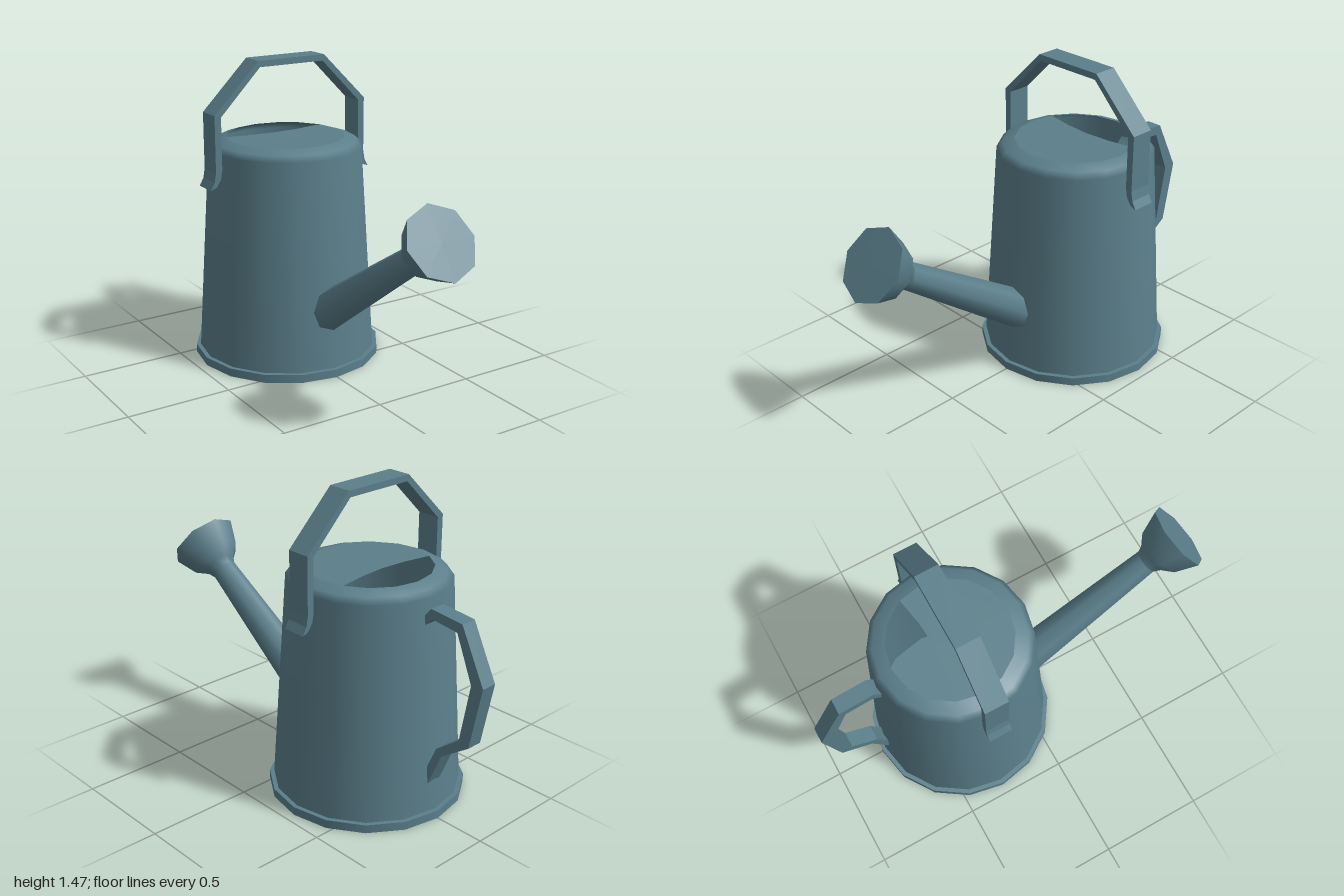
import * as THREE from 'three';

const BODY_Z = -0.3;
const V = (pts) => pts.map(([x, y]) => new THREE.Vector2(x, y));

export function createModel() {
  const group = new THREE.Group();
  const metal = new THREE.MeshStandardMaterial({ color: 0x5b7f8b, side: THREE.DoubleSide });
  metal.name = 'slateBlueMetal';

  const add = (name, geometry, x = 0, y = 0, z = 0) => {
    const mesh = new THREE.Mesh(geometry, metal);
    mesh.name = name;
    mesh.position.set(x, y, z);
    group.add(mesh);
    return mesh;
  };

  // Flat bar cut from an outline and centred across its width
  const bar = (outline, width) =>
    new THREE.ExtrudeGeometry(new THREE.Shape(V(outline)), { depth: width, bevelEnabled: false })
      .translate(0, 0, -width / 2);

  // Tapered can with rounded shoulder, standing on a base rim
  add('body', new THREE.LatheGeometry(V([
    [0.435, 0.03], [0.37, 1.04], [0.343, 1.067], [0.285, 1.086],
  ]), 16), 0, 0, BODY_Z);
  add('baseRim', new THREE.CylinderGeometry(0.455, 0.455, 0.04, 16), 0, 0.02, BODY_Z);

  // Lid covers the front of the can; the back stays open for filling
  const lid = [];
  for (let k = -5; k <= 5; k++) {
    const a = (k * Math.PI) / 8;
    lid.push([0.285 * Math.sin(a), -0.285 * Math.cos(a)]);
  }
  lid.push([0.13, 0.085], [0, 0.075], [-0.13, 0.085]);
  add('lid', new THREE.ShapeGeometry(new THREE.Shape(V(lid))).rotateX(-Math.PI / 2), 0, 1.086, BODY_Z);

  // Spout and sprinkler head share one sloping axis, measured from the spout's end
  const tilt = THREE.MathUtils.degToRad(90 - 34.5);
  const onAxis = (name, profile) => {
    add(name, new THREE.LatheGeometry(V(profile), 8), 0, 0.765, 0.735).rotation.x = tilt;
  };
  onAxis('spout', [[0.096, -0.84], [0.062, 0]]);
  onAxis('sprinklerHead', [[0.062, 0], [0.078, 0.035], [0.128, 0.085], [0.172, 0.198]]);
  onAxis('sprinklerFace', [[0.172, 0.198], [0, 0.2]]);

  // Carrying handle arched over the top, with flared feet
  const outer = [[0.438, 0.888], [0.418, 0.925], [0.41, 0.97], [0.41, 1.235], [0.178, 1.465]];
  const inner = [[0.17, 1.435], [0.377, 1.225], [0.377, 0.98], [0.385, 0.935], [0.408, 0.9]];
  const mirror = (pts) => pts.map(([x, y]) => [-x, y]).reverse();
  add('topHandle', bar([...outer, ...mirror(outer), ...mirror(inner), ...inner], 0.113), 0, 0, -0.294);

  // Rear grip, outlined in depth and height
  add('rearHandle', bar([
    [-0.63, 0.93], [-0.66, 0.96], [-0.7, 1.008], [-0.87, 0.992], [-0.995, 0.743],
    [-0.936, 0.445], [-0.79, 0.345], [-0.72, 0.18], [-0.7, 0.2], [-0.715, 0.27],
    [-0.76, 0.37], [-0.882, 0.462], [-0.932, 0.738], [-0.845, 0.947], [-0.71, 0.963],
    [-0.67, 0.925], [-0.64, 0.89],
  ], 0.076).rotateY(-Math.PI / 2));

  return group;
}
